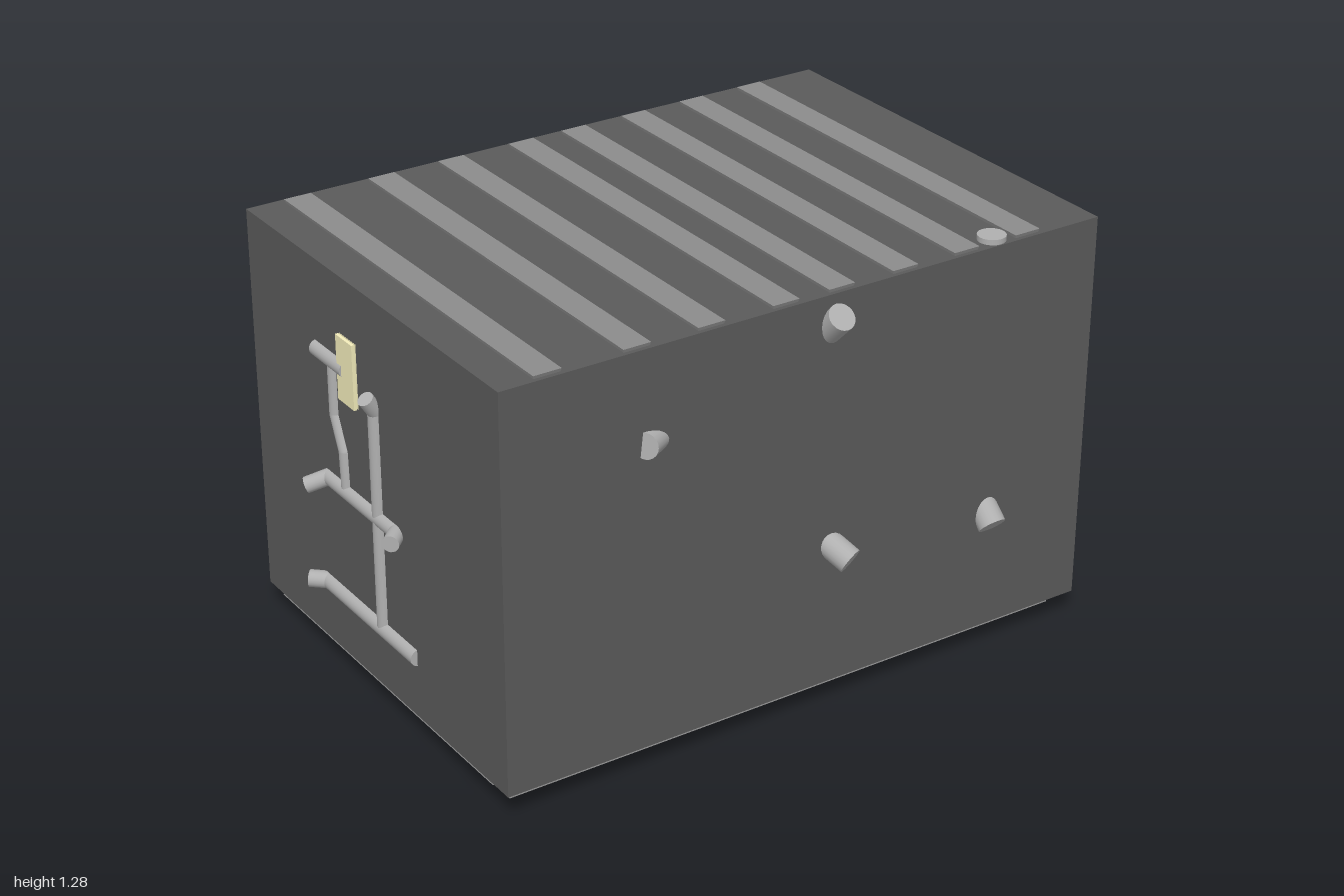
import * as THREE from 'three';

const mat = (color, side = THREE.FrontSide) => new THREE.MeshStandardMaterial({ color, side });
const wallMat = mat(0x5b5b5b, THREE.DoubleSide);
const trimMat = mat(0x8c8c8c);
const pipeMat = mat(0xb0b0b0);
const panelMat = mat(0xf5eebc);
const skinMat = mat(0xe1bca8);
const crateMat = mat(0xcccccc);

const V = (x, y, z) => new THREE.Vector3(x, y, z);

function add(parent, name, geometry, material, x = 0, y = 0, z = 0) {
  const mesh = new THREE.Mesh(geometry, material);
  mesh.name = name;
  mesh.position.set(x, y, z);
  parent.add(mesh);
  return mesh;
}

// Box whose top (or bottom, when flip is set) is drawn in by inset x / z
function taperedBox(w, h, d, insetX, insetZ, flip = false) {
  const g = new THREE.BoxGeometry(w, h, d);
  const p = g.attributes.position;
  for (let i = 0; i < p.count; i++) {
    if ((p.getY(i) > 0) !== flip) {
      p.setX(i, p.getX(i) - Math.sign(p.getX(i)) * insetX);
      p.setZ(i, p.getZ(i) - Math.sign(p.getZ(i)) * insetZ);
    }
  }
  g.computeVertexNormals();
  return g;
}

// Straight pipe runs joined by round elbows
function pipe(parent, name, radius, points) {
  const group = new THREE.Group();
  group.name = name;
  for (let i = 0; i < points.length - 1; i++) {
    const a = points[i], b = points[i + 1];
    const dir = b.clone().sub(a);
    const run = add(group, name + 'Run', new THREE.CylinderGeometry(radius, radius, dir.length(), 20), pipeMat);
    run.position.copy(a).add(b).multiplyScalar(0.5);
    run.quaternion.setFromUnitVectors(V(0, 1, 0), dir.normalize());
    if (i > 0) add(group, name + 'Elbow', new THREE.SphereGeometry(radius, 20, 12), pipeMat, a.x, a.y, a.z);
  }
  parent.add(group);
}

// One wall's network of pipes with its stacked control panel
function pipeNetwork(name) {
  const g = new THREE.Group();
  g.name = name;
  const z = -0.64;
  pipe(g, 'mainPipe', 0.047, [V(-0.625, 1.05, z), V(-0.625, 0.12, z), V(-0.625, 0.045, -0.72)]);
  pipe(g, 'crossPipe', 0.043, [V(-0.625, 0.71, z), V(0.62, 0.71, z), V(0.71, 0.72, -0.7)]);
  pipe(g, 'middlePipe', 0.045, [V(0.02, 0.97, -0.73), V(0.02, 0.88, z), V(0.02, 0.18, z), V(-0.03, 0.115, -0.745)]);
  pipe(g, 'branchPipe', 0.037, [V(0.02, 0.38, z), V(0.25, 0.37, z), V(0.43, 0.29, z), V(0.73, 0.29, z)]);
  pipe(g, 'shortPipe', 0.045, [V(0.73, 0.425, z), V(0.73, 0.11, z)]);
  // Panel: thin plates with gaps, a core and a front knob
  for (let i = 0; i < 5; i++) {
    add(g, 'panelPlate', new THREE.BoxGeometry(0.36, 0.165, 0.017), panelMat, 0.74, 0.4625, -0.57 - i * 0.0235);
  }
  add(g, 'panelCore', new THREE.BoxGeometry(0.34, 0.15, 0.09), panelMat, 0.74, 0.4625, -0.616);
  const knob = add(g, 'panelKnob', new THREE.CylinderGeometry(0.01, 0.01, 0.012, 12), panelMat, 0.74, 0.4625, -0.557);
  knob.rotation.x = Math.PI / 2;
  return g;
}

export function createModel() {
  const model = new THREE.Group();
  model.name = 'pipeRoom';
  const x0 = -0.93, x1 = 1, y0 = 0.085, y1 = 1.28, z0 = -0.65, z1 = 0.7;
  const w = x1 - x0, h = y1 - y0, d = z1 - z0;
  const cx = (x0 + x1) / 2, cy = (y0 + y1) / 2, cz = (z0 + z1) / 2;

  // Room shell, open on the left side
  add(model, 'frontWall', new THREE.PlaneGeometry(w, h), wallMat, cx, cy, z1);
  add(model, 'backWall', new THREE.PlaneGeometry(w, h), wallMat, cx, cy, z0).rotation.y = Math.PI;
  add(model, 'rightWall', new THREE.PlaneGeometry(d, h), wallMat, x0, cy, cz).rotation.y = -Math.PI / 2;
  add(model, 'ceiling', new THREE.PlaneGeometry(w, d), wallMat, cx, y1, cz).rotation.x = -Math.PI / 2;
  add(model, 'floor', new THREE.PlaneGeometry(w, d), wallMat, cx, y0, cz).rotation.x = Math.PI / 2;

  // Ceiling beams, narrower below and just proud of the roof
  for (const x of [-0.78, -0.513, -0.285, -0.05, 0.13, 0.34, 0.548, 0.758]) {
    add(model, 'ceilingBeam', taperedBox(0.084, 0.08, 1.32, 0.02, 0.025, true), trimMat, x, 1.25, 0.03);
  }

  // Skirting boards
  add(model, 'frontSkirting', taperedBox(1.83, 0.08, 0.088, 0.02, 0.022), trimMat, -0.01, 0.12, 0.655);
  add(model, 'backSkirting', taperedBox(1.82, 0.072, 0.088, 0.02, 0.022), trimMat, -0.015, 0.124, -0.605);
  add(model, 'rightSkirting', taperedBox(0.088, 0.052, 1.19, 0.022, 0.02), trimMat, -0.885, 0.105, 0.025);

  // The same pipe network on three walls
  model.add(pipeNetwork('backPipes'));
  const front = pipeNetwork('frontPipes');
  front.rotation.y = Math.PI;
  front.scale.setScalar(0.87);
  front.position.set(0.116, 0.382, 0.099);
  model.add(front);
  const right = pipeNetwork('rightPipes');
  right.quaternion.setFromRotationMatrix(new THREE.Matrix4().makeBasis(V(0, 1, 0), V(0, 0, 1), V(1, 0, 0)));
  right.scale.setScalar(0.54);
  right.position.set(-0.58, 0.6125, -0.333);
  model.add(right);

  // Small device with a thin lever in front of the front panel
  const device = new THREE.Group();
  device.name = 'wallDevice';
  add(device, 'deviceLower', new THREE.BoxGeometry(0.1, 0.105, 0.055), skinMat, 0, 0.737, 0.555);
  add(device, 'deviceUpper', new THREE.BoxGeometry(0.1, 0.14, 0.055), skinMat, 0, 0.863, 0.555);
  const lever = add(device, 'deviceLever', new THREE.CylinderGeometry(0.003, 0.003, 0.175, 8), skinMat, 0, 0.755, 0.472);
  lever.rotation.x = Math.PI / 2 - 0.41;
  lever.rotation.x = Math.atan2(0.16, 0.07);
  device.position.x = -0.53;
  model.add(device);

  // Crate set into the floor
  add(model, 'crate', new THREE.BoxGeometry(0.19, 0.19, 0.19), crateMat, 0.03, 0.135, 0.03);

  return model;
}
